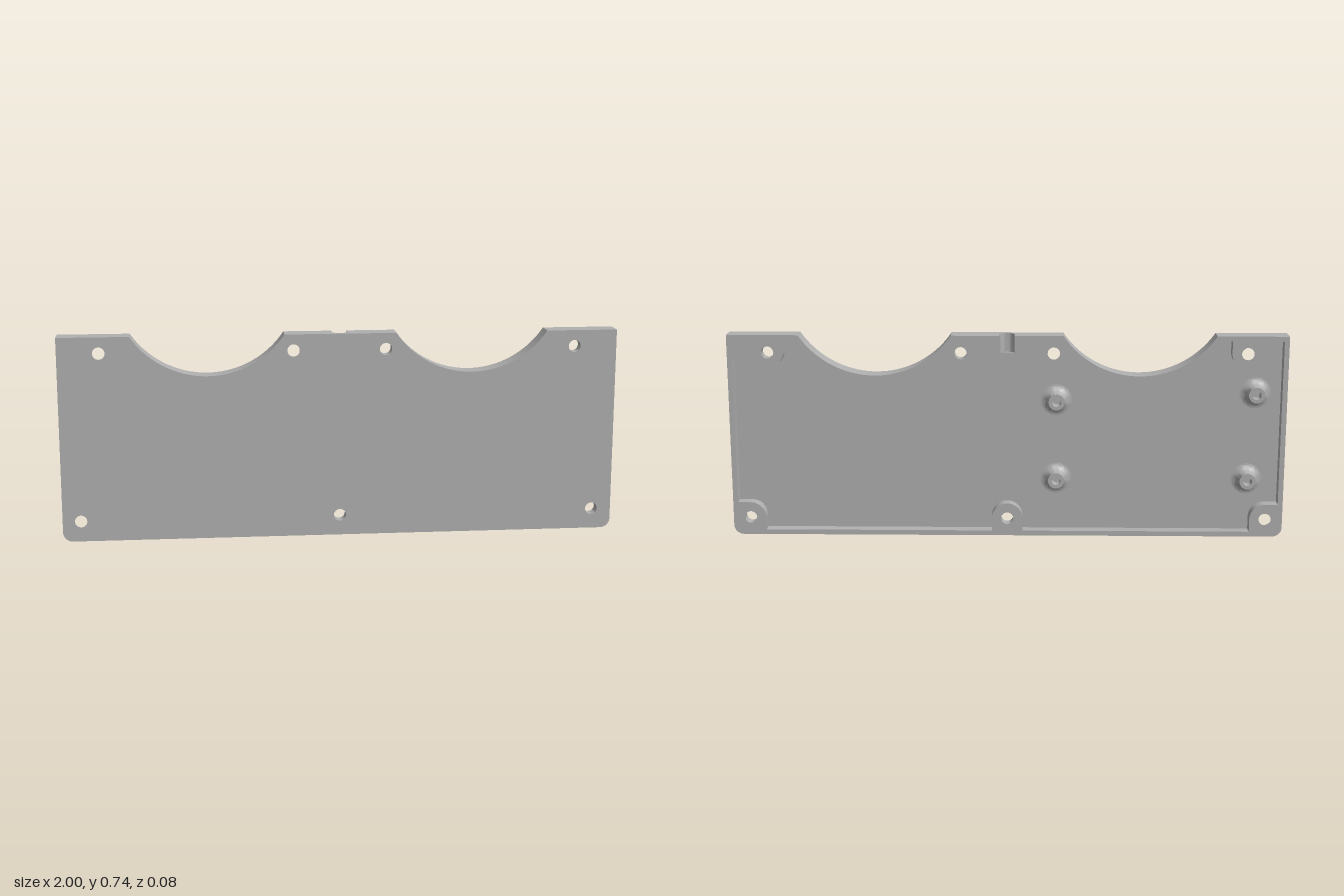
import * as THREE from 'three';
import { toCreasedNormals } from 'three/addons/utils/BufferGeometryUtils.js';

const H = 0.74, WALL = 0.018;                 // panel height, rim thickness
const FRONT = 0.04, GROOVE = 0.024, FLOOR = 0.008, BACK = -0.033; // z levels
const ARC_X = 0.4725, ARC_Y = 0.9236, ARC_R = 0.3286; // top cut-outs
const SLOT = 0.028, SLOT_Y = 0.672;           // cable slot half width and lower end
const BOSS_R = 0.056, BORE_R = 0.04, HOLE_R = 0.022;
const TOP_Y = 0.677, LOW_Y = 0.065, OUT_X = 0.855, IN_X = 0.166, LOW_X = 0.937;

const V = (x, y) => new THREE.Vector2(x, y);
const mirror = (pts) => pts.map((p) => V(-p.x, p.y));

function arc(cx, cy, r, a0, a1, n = 24) {
  return Array.from({ length: n + 1 }, (_, i) => {
    const a = a0 + ((a1 - a0) * i) / n;
    return V(cx + r * Math.cos(a), cy + r * Math.sin(a));
  });
}

// Panel outline inset by t, running clockwise from one side of the slot to the other
function outline(t) {
  const a = Math.asin((ARC_Y - H + t) / (ARC_R + t));
  const half = [
    V(SLOT, H - t),
    ...arc(ARC_X, ARC_Y, ARC_R + t, Math.PI + a, 2 * Math.PI - a, 48),
    V(1 - t, H - t),
    ...arc(0.965, 0.035, 0.035 - t, 0, -Math.PI / 2, 10),
  ];
  return [...half, ...mirror(half).reverse()];
}

// Extrude a point outline between two z levels, with round holes [x, y, r]
function slab(name, pts, z0, z1, holes, material) {
  const shape = new THREE.Shape(pts);
  for (const [x, y, r] of holes) shape.holes.push(new THREE.Path(arc(x, y, r, 0, -2 * Math.PI, 32).slice(0, -1)));
  const geo = new THREE.ExtrudeGeometry(shape, { depth: z1 - z0, bevelEnabled: false });
  geo.translate(0, 0, z0);
  const mesh = new THREE.Mesh(toCreasedNormals(geo, 0.5), material);
  mesh.name = name;
  return mesh;
}

export function createModel() {
  const group = new THREE.Group();
  group.name = 'enclosurePanel';
  const grey = new THREE.MeshStandardMaterial({ color: 0xb0b0b0 });
  grey.name = 'plainGrey';

  // Face plate in two layers, both pierced by the screw counterbores
  const bores = [[0, LOW_Y, BORE_R]];
  for (const s of [-1, 1]) {
    bores.push([s * OUT_X, TOP_Y, BORE_R], [s * IN_X, TOP_Y, BORE_R], [s * LOW_X, LOW_Y, BORE_R]);
  }
  const outer = outline(0);
  group.add(slab('facePlate', outer, GROOVE, FRONT, bores, grey));
  group.add(slab('innerFloor', [...outer, V(-SLOT, SLOT_Y), V(SLOT, SLOT_Y)], FLOOR, GROOVE, bores, grey));

  // Rim around the back, open at the cable slot
  group.add(slab('rim', [...outer, ...outline(WALL).reverse()], BACK, FLOOR, [], grey));

  // Rounded bed of the cable slot, extruded along y
  const bed = new THREE.Shape([
    V(-SLOT, GROOVE), V(-SLOT, FLOOR),
    ...arc(0, GROOVE - SLOT, SLOT, Math.PI - 0.443, 0.443, 16),
    V(SLOT, FLOOR), V(SLOT, GROOVE),
  ]);
  const bedGeo = new THREE.ExtrudeGeometry(bed, { depth: H - SLOT_Y, bevelEnabled: false });
  bedGeo.rotateX(Math.PI / 2).translate(0, H, 0);
  const bedMesh = new THREE.Mesh(toCreasedNormals(bedGeo, 0.5), grey);
  bedMesh.name = 'cableSlotBed';
  group.add(bedMesh);

  // Screw bosses joined to the rim
  const boss = (name, pts, x, y) => group.add(slab(name, pts, BACK, FLOOR, [[x, y, HOLE_R]], grey));
  const top = H - 0.008, edge = 0.985, low = 0.015, r = BOSS_R, PI = Math.PI;
  const outerTop = [...arc(OUT_X, TOP_Y, r, PI, 2 * PI), V(OUT_X + r, top), V(OUT_X - r, top)];
  const corner = [...arc(LOW_X, LOW_Y, r, PI / 2, PI, 12), V(LOW_X - r, low), V(edge, low), V(edge, LOW_Y + r)];
  const arcR = ARC_R + 0.008;
  const angleAt = (y) => PI + Math.asin((ARC_Y - y) / arcR);
  const innerTop = [
    ...arc(IN_X, TOP_Y, r, PI, 1.5 * PI, 12),
    ...arc(ARC_X, ARC_Y, arcR, angleAt(TOP_Y - r), angleAt(top), 12),
    V(IN_X - r, top),
  ];
  for (const [side, s] of [['left', 1], ['right', -1]]) {
    const flip = (pts) => (s > 0 ? pts : mirror(pts));
    boss(side + 'OuterTopBoss', flip(outerTop), s * OUT_X, TOP_Y);
    boss(side + 'InnerTopBoss', flip(innerTop), s * IN_X, TOP_Y);
    boss(side + 'CornerBoss', flip(corner), s * LOW_X, LOW_Y);
  }
  boss('bottomBoss', [...arc(0, LOW_Y, r, 0, PI), V(-r, low), V(r, low)], 0, LOW_Y);

  // Board standoffs with flared feet and blind holes
  const profile = [
    ...arc(0.057, 0.028, 0.028, 1.5 * PI, PI, 8),
    V(0.029, 0.048), V(0.016, 0.048), V(0.016, 0.004), V(0, 0.004),
  ];
  const standoffGeo = toCreasedNormals(new THREE.LatheGeometry(profile, 32), 0.5);
  for (const [x, y] of [[-0.177, 0.5], [-0.177, 0.209], [-0.891, 0.528], [-0.869, 0.209]]) {
    const m = new THREE.Mesh(standoffGeo, grey);
    m.name = 'standoff';
    m.rotation.x = -PI / 2;
    m.position.set(x, y, FLOOR);
    group.add(m);
  }
  return group;
}
